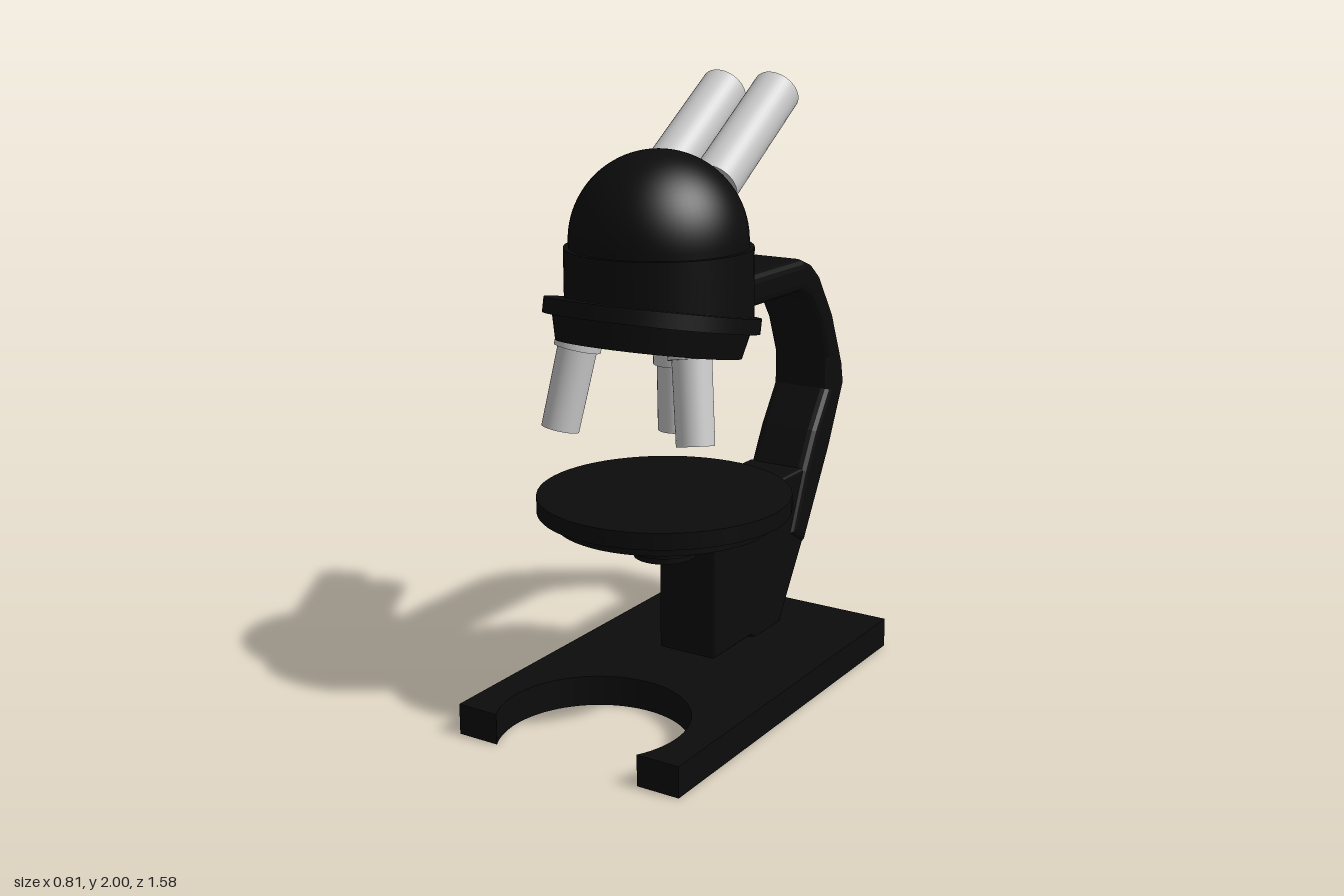
import * as THREE from 'three';

const black = new THREE.MeshStandardMaterial({ color: 0x0c0c0c });
const grey = new THREE.MeshStandardMaterial({ color: 0xcccccc });

function add(parent, name, geometry, material, x = 0, y = 0, z = 0) {
  const mesh = new THREE.Mesh(geometry, material);
  mesh.name = name;
  mesh.position.set(x, y, z);
  parent.add(mesh);
  return mesh;
}

// upright disc between two heights
function disc(parent, name, r, y0, y1, z, rBottom = r) {
  const geometry = new THREE.CylinderGeometry(r, rBottom, y1 - y0, 64);
  return add(parent, name, geometry, black, 0, (y0 + y1) / 2, z);
}

// group whose local y axis runs from a to b, with its origin at a
function alongAxis(parent, name, a, b) {
  const group = new THREE.Group();
  const dir = b.clone().sub(a);
  group.name = name;
  group.position.copy(a);
  group.quaternion.setFromUnitVectors(new THREE.Vector3(0, 1, 0), dir.clone().normalize());
  parent.add(group);
  return { group, length: dir.length() };
}

// side profile given as [z, y], extruded across x with softened edges
function sideExtrude(points, width, bevel) {
  const shape = new THREE.Shape(points.map(([z, y]) => new THREE.Vector2(-z, y)));
  const geometry = new THREE.ExtrudeGeometry(shape, {
    depth: width - 2 * bevel, bevelEnabled: bevel > 0, bevelThickness: bevel,
    bevelSize: bevel, bevelOffset: -bevel, bevelSegments: 3,
  });
  geometry.translate(0, 0, -(width - 2 * bevel) / 2);
  geometry.rotateY(Math.PI / 2);
  return geometry;
}

export function createModel() {
  const model = new THREE.Group();
  model.name = 'microscope';

  // Base plate with a round bite out of the front
  const hx = 0.405, front = 0.79, back = -0.55, cz = 0.64, r = 0.3;
  const a = Math.asin((front - cz) / r);
  const plate = new THREE.Shape();
  plate.moveTo(-hx, -front);
  plate.lineTo(-r * Math.cos(a), -front);
  plate.absarc(0, -cz, r, Math.PI + a, -a, true);
  plate.lineTo(hx, -front);
  plate.lineTo(hx, -back);
  plate.lineTo(-hx, -back);
  const plateGeometry = new THREE.ExtrudeGeometry(plate, { depth: 0.1, bevelEnabled: false, curveSegments: 40 });
  plateGeometry.rotateX(-Math.PI / 2);
  add(model, 'base', plateGeometry, black);

  // Pedestal block
  add(model, 'pedestal', sideExtrude([
    [0.09, 0.11], [-0.15, 0.11], [-0.17, 0.09], [-0.34, 0.09],
    [-0.5, 0.34], [-0.6, 0.51], [-0.5, 0.615], [0.09, 0.615],
  ], 0.22, 0.012), black, -0.01);

  // Curved arm
  add(model, 'arm', sideExtrude([
    [0.04, 1.36], [-0.47, 1.36], [-0.535, 1.335], [-0.59, 1.29], [-0.69, 1.14],
    [-0.77, 0.95], [-0.785, 0.87], [-0.68, 0.65], [-0.5, 0.34], [-0.4, 0.4],
    [-0.49, 0.61], [-0.56, 0.74], [-0.65, 0.87], [-0.65, 0.98],
    [-0.6, 1.11], [-0.53, 1.21], [-0.45, 1.25], [0.04, 1.25],
  ], 0.225, 0.03), black);

  // Stage and the condenser under it
  const sz = 0.237;
  disc(model, 'stage', 0.405, 0.657, 0.71, sz);
  disc(model, 'stageUnderside', 0.353, 0.62, 0.657, sz);
  disc(model, 'condenserMount', 0.105, 0.588, 0.62, sz).scale.x = 1.48;
  disc(model, 'condenserNeck', 0.085, 0.55, 0.588, sz);
  disc(model, 'condenserRing', 0.115, 0.525, 0.55, sz);
  disc(model, 'condenserLens', 0.1, 0.502, 0.525, sz);

  // Domed head
  const hz = 0.26;
  disc(model, 'headBody', 0.292, 1.25, 1.5, hz);
  const dome = new THREE.SphereGeometry(0.277, 64, 24, 0, Math.PI * 2, 0, Math.PI / 2);
  add(model, 'headDome', dome, black, 0, 1.518, hz);
  disc(model, 'headCollar', 0.277, 1.49, 1.518, hz);

  // Tilted turret that carries the objectives
  const turret = new THREE.Group();
  turret.name = 'turret';
  turret.position.set(0, 1.316, 0.295);
  turret.rotation.x = -0.2;
  model.add(turret);
  disc(turret, 'turretRing', 0.335, -0.048, 0, 0);
  disc(turret, 'turretPlate', 0.305, -0.128, -0.048, 0, 0.287);

  // Objectives: seat point and tip
  const objectives = [
    [[0, 1.14, 0.165], [0, 0.9, 0.165]],
    [[0.175, 1.21, 0.352], [0.224, 0.935, 0.408]],
    [[-0.172, 1.22, 0.445], [-0.207, 0.95, 0.502]],
  ];
  for (const [seat, tip] of objectives) {
    const { group, length } = alongAxis(model, 'objective', new THREE.Vector3(...seat), new THREE.Vector3(...tip));
    add(group, 'objectiveBarrel', new THREE.CylinderGeometry(0.059, 0.062, length + 0.04, 32), grey, 0, length / 2 - 0.02);
    add(group, 'objectiveCollar', new THREE.CylinderGeometry(0.073, 0.073, 0.065, 32), grey, 0, -0.0075);
  }

  // Pair of eyepiece tubes
  for (const x of [-0.102, 0.094]) {
    const { group, length } = alongAxis(model, 'eyepiece',
      new THREE.Vector3(x, 1.676, 0.093), new THREE.Vector3(x, 1.934, -0.29));
    add(group, 'eyepieceTube', new THREE.CylinderGeometry(0.078, 0.078, length, 40), grey, 0, length / 2);
  }

  return model;
}
